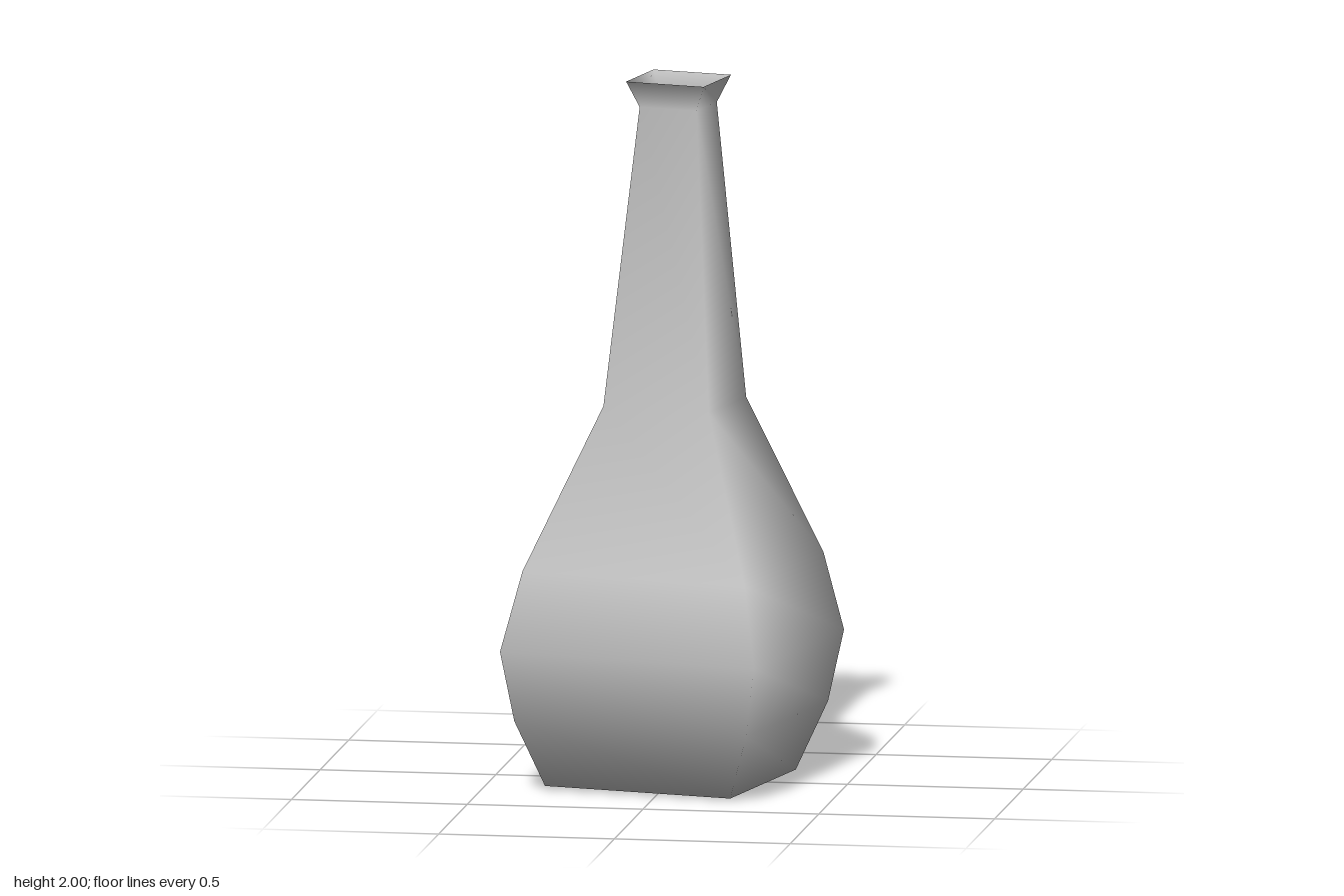
import * as THREE from 'three';

export function createModel() {
  const model = new THREE.Group();
  model.name = 'vase';

  const clay = new THREE.MeshStandardMaterial({ color: 0xcccccc, side: THREE.DoubleSide });
  clay.name = 'grey clay';

  // Corner radius and height, from the closed base up to the open flared lip
  const profile = [
    [0, 0], [0.39, 0], [0.488, 0.19], [0.535, 0.39], [0.468, 0.615],
    [0.222, 1.07], [0.12, 1.915], [0.163, 1.99],
  ].map(([r, y]) => new THREE.Vector2(r, y));

  // Four-sided thin shell with soft shading, turned about ten degrees
  const body = new THREE.Mesh(new THREE.LatheGeometry(profile, 4, 0.606), clay);
  body.name = 'vaseBody';

  // The vase leans very slightly to one corner
  body.rotation.set(-0.01, 0, -0.01);
  body.position.set(-0.003, 0.006, 0.003);
  model.add(body);

  return model;
}
